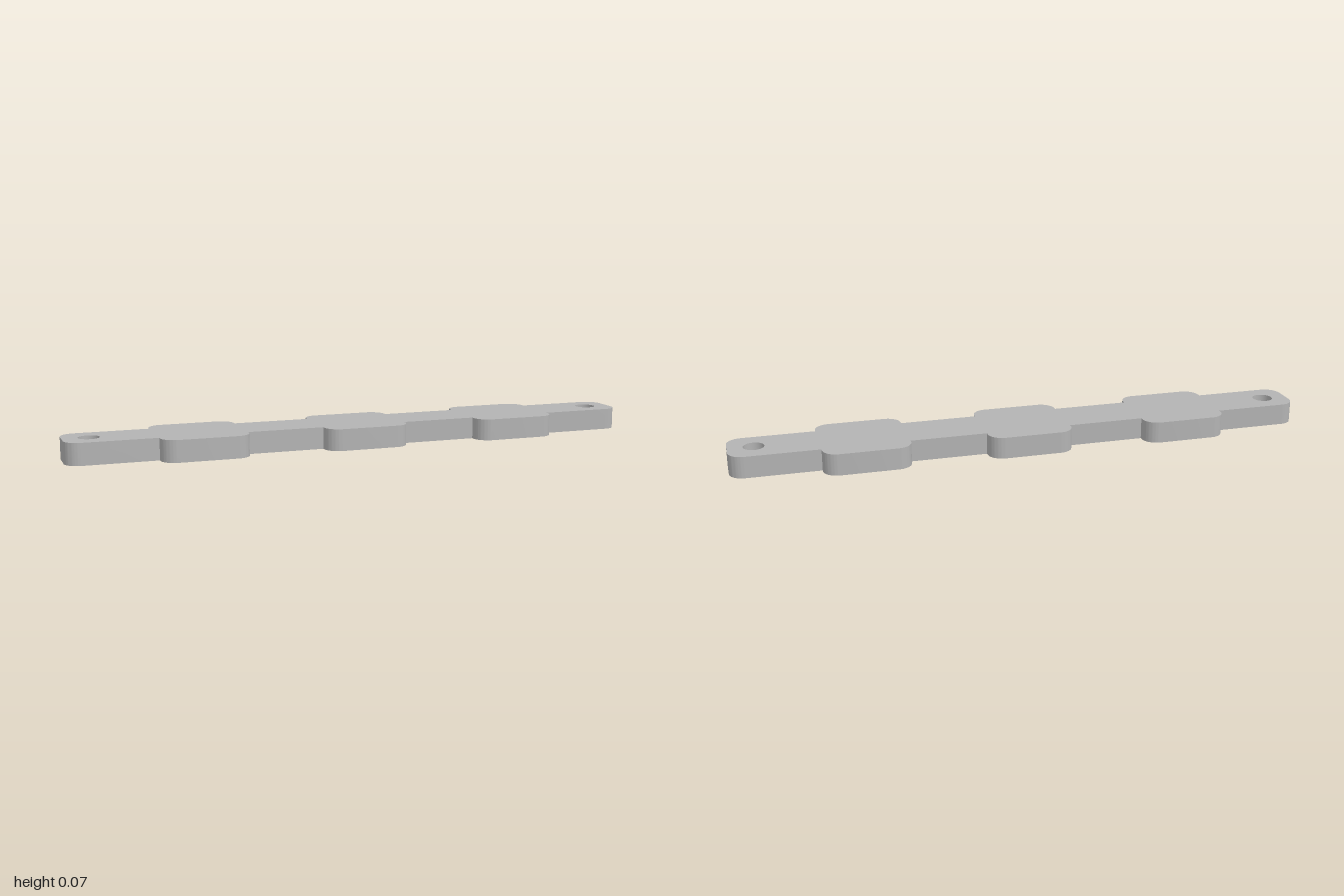
import * as THREE from 'three';
import { toCreasedNormals } from 'three/addons/utils/BufferGeometryUtils.js';

const HEIGHT = 0.074, BAR = 0.088, PAD = 0.147, PAD_HALF = 0.147, RADIUS = 0.05;
const GROOVE_DEPTH = 0.015, ARM = 0.085, ARM_HALF = 0.011;
const PAD_X = [0.555, 0, -0.555];
const Q = Math.PI / 2;

// Rounded bar with three wider pads; the second half is the first turned by 180 degrees
function plateShape() {
  const shape = new THREE.Shape();
  for (const s of [1, -1]) {
    const a = s > 0 ? 0 : Math.PI;
    const corner = (x, z, start) =>
      shape.absarc(s * x, s * (z - RADIUS), RADIUS, a + start, a + start + Q, false);
    corner(1 - RADIUS, BAR, 0);
    for (const c of PAD_X) {
      shape.lineTo(s * (c + PAD_HALF), s * BAR);
      corner(c + PAD_HALF - RADIUS, PAD, 0);
      corner(c - PAD_HALF + RADIUS, PAD, Q);
      shape.lineTo(s * (c - PAD_HALF), s * BAR);
    }
    corner(-1 + RADIUS, BAR, Q);
  }
  // Bolt holes at both ends
  for (const x of [-0.913, 0.913]) {
    shape.holes.push(new THREE.Path().absarc(x, 0, 0.035, 0, Math.PI * 2, true));
  }
  return shape;
}

// Plus-shaped outline centred on x = cx
function crossPoints(cx) {
  const points = [];
  for (let i = 0; i < 4; i++) {
    for (const [x, y] of [[ARM, -ARM_HALF], [ARM, ARM_HALF], [ARM_HALF, ARM_HALF]]) {
      points.push(new THREE.Vector2(x, y).rotateAround(new THREE.Vector2(), i * Q));
    }
  }
  return points.map((p) => new THREE.Vector2(p.x + cx, p.y));
}

// Upward extrusion without its bottom lid; insideOut turns it into a recess
function openExtrude(shape, depth, insideOut = false) {
  const full = new THREE.ExtrudeGeometry(shape, { depth, bevelEnabled: false, curveSegments: 12 });
  const skip = (full.groups[0].count / 2) * 3;
  const geometry = new THREE.BufferGeometry();
  geometry.setAttribute('position',
    new THREE.BufferAttribute(full.attributes.position.array.slice(skip), 3));
  geometry.rotateX(-Q);
  if (insideOut) geometry.scale(-1, 1, 1);
  return toCreasedNormals(geometry, 0.6);
}

export function createModel() {
  const group = new THREE.Group();
  const grey = new THREE.MeshStandardMaterial({ color: 0xb3b3b3 });
  grey.name = 'grey';
  const add = (name, geometry) => {
    const mesh = new THREE.Mesh(geometry, grey);
    mesh.name = name;
    group.add(mesh);
    return mesh;
  };

  // Top face, outer walls and hole walls
  add('plateBody', openExtrude(plateShape(), HEIGHT));

  // Underside with cross-shaped openings
  const under = plateShape();
  for (const x of PAD_X) under.holes.push(new THREE.Path(crossPoints(x)));
  add('plateUnderside', new THREE.ShapeGeometry(under, 12).rotateX(Q));

  // Shallow cross grooves under the pads
  for (const x of PAD_X) {
    add('crossGroove', openExtrude(new THREE.Shape(crossPoints(0)), GROOVE_DEPTH, true)).position.x = x;
  }
  return group;
}
